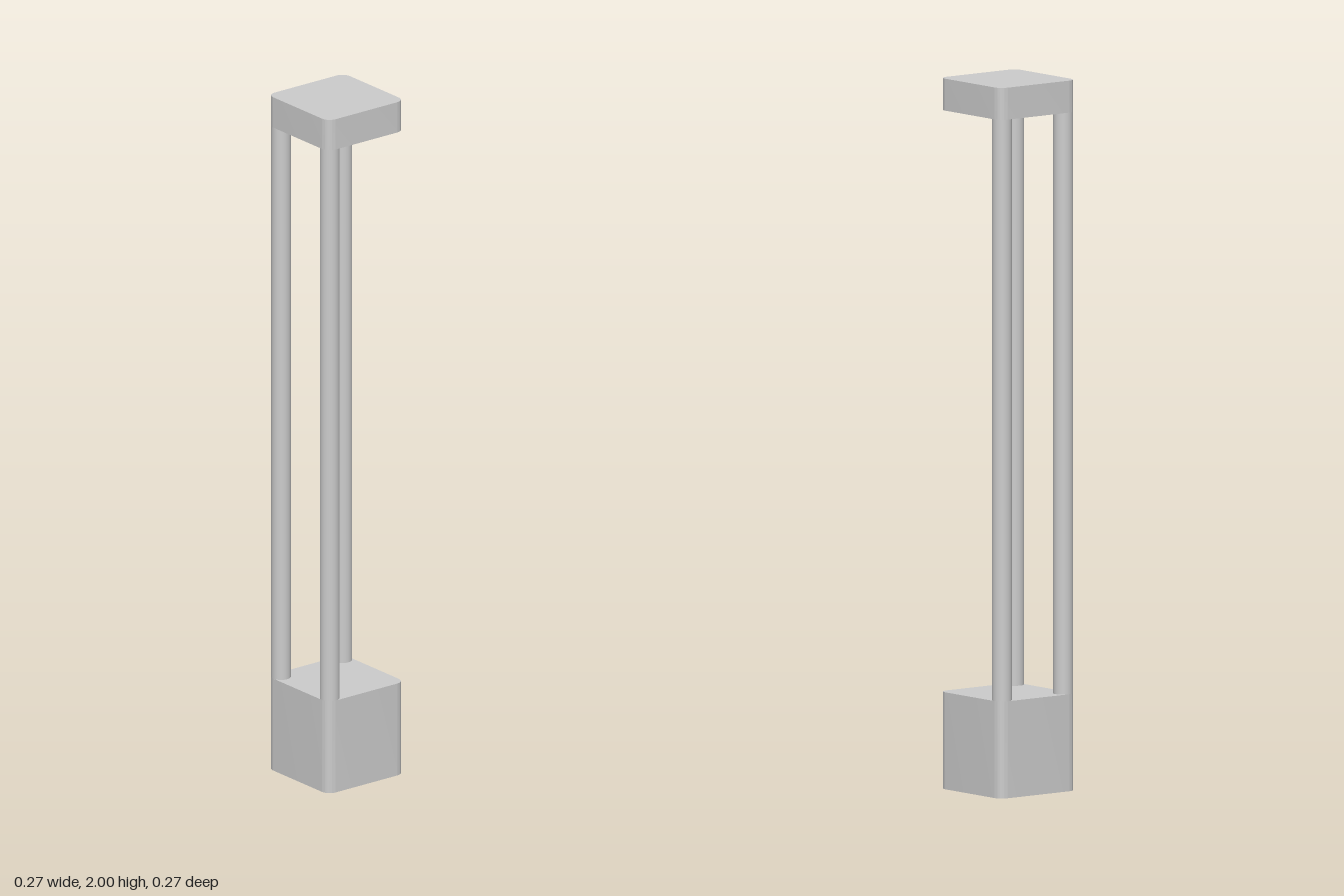
import * as THREE from 'three';
import { toCreasedNormals } from 'three/addons/utils/BufferGeometryUtils.js';

const HALF = 0.1365;      // half width of the square plan
const RADIUS = 0.0275;    // corner rounding, shared with the posts
const BASE_TOP = 0.273;
const CAP_BOTTOM = 1.91;
const HEIGHT = 2;

// Upright block with rounded vertical corners, from y0 to y1
function roundedBlock(name, y0, y1, material) {
  const c = HALF - RADIUS;
  const shape = new THREE.Shape();
  shape.absarc(c, c, RADIUS, 0, Math.PI / 2);
  shape.absarc(-c, c, RADIUS, Math.PI / 2, Math.PI);
  shape.absarc(-c, -c, RADIUS, Math.PI, Math.PI * 1.5);
  shape.absarc(c, -c, RADIUS, Math.PI * 1.5, Math.PI * 2);
  shape.closePath();
  const extruded = new THREE.ExtrudeGeometry(shape, { depth: y1 - y0, bevelEnabled: false, curveSegments: 10 });
  extruded.rotateX(-Math.PI / 2);
  const mesh = new THREE.Mesh(toCreasedNormals(extruded, Math.PI / 6), material);
  mesh.name = name;
  mesh.position.y = y0;
  return mesh;
}

export function createModel() {
  const group = new THREE.Group();
  group.name = 'postLantern';
  const material = new THREE.MeshStandardMaterial({ color: 0xcccccc });

  // Base cube and thin cap
  group.add(roundedBlock('base', 0, BASE_TOP, material));
  group.add(roundedBlock('cap', CAP_BOTTOM, HEIGHT, material));

  // Round posts in three corners; the front left corner stays open
  const length = CAP_BOTTOM - BASE_TOP;
  const postGeometry = new THREE.CylinderGeometry(RADIUS, RADIUS, length, 40);
  const c = HALF - RADIUS;
  const posts = [['frontRightPost', -1, 1], ['backRightPost', -1, -1], ['backLeftPost', 1, -1]];
  for (const [name, sx, sz] of posts) {
    const post = new THREE.Mesh(postGeometry, material);
    post.name = name;
    post.position.set(sx * c, BASE_TOP + length / 2, sz * c);
    group.add(post);
  }
  return group;
}
